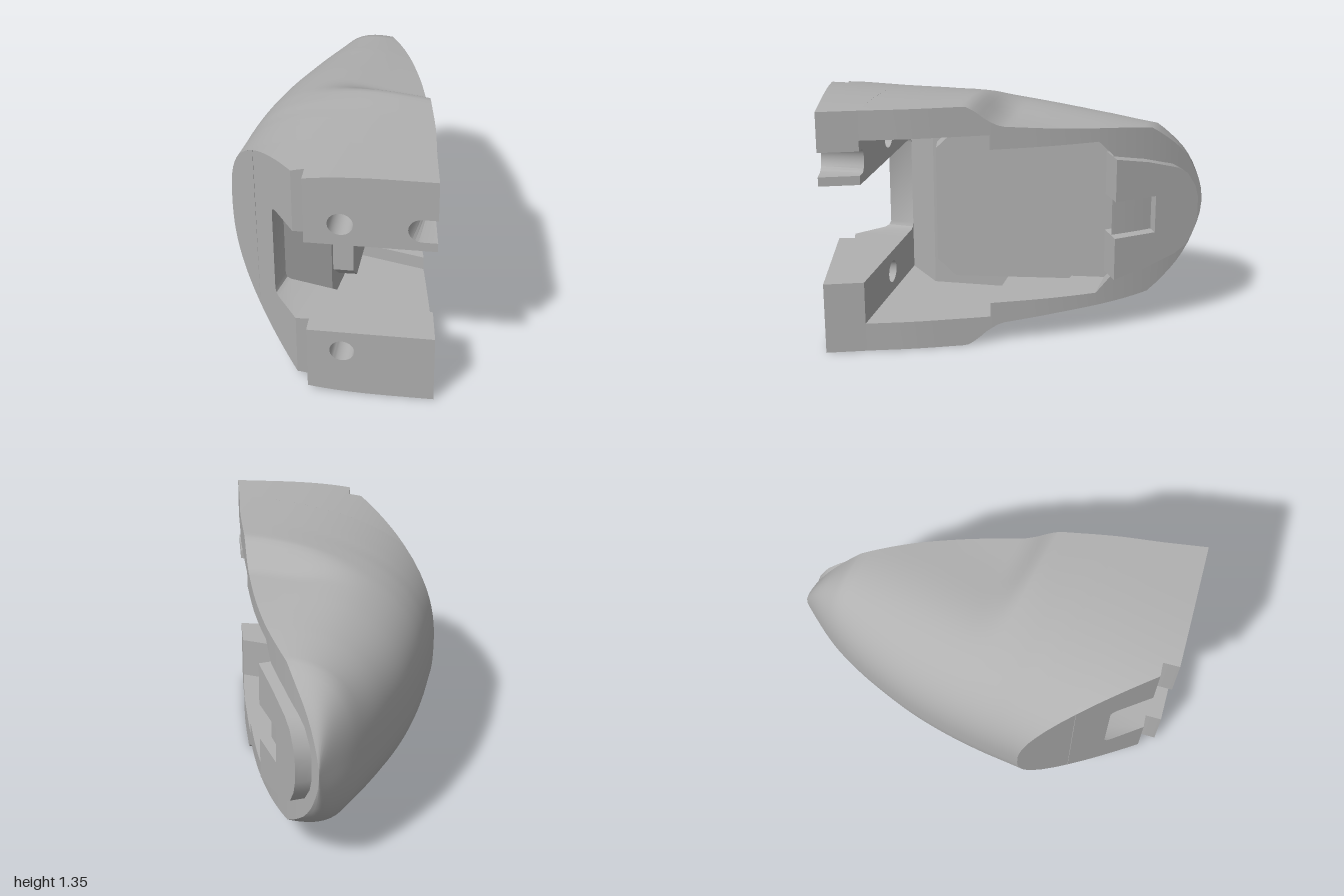
import * as THREE from 'three';
import { toCreasedNormals } from 'three/addons/utils/BufferGeometryUtils.js';

const MID = 0.675; // height of the mirror plane
const FRONT = 0.64; // depth where the clamp arms begin

// Piecewise curves through [position, value] points
const curve = (pts, Kind) => {
  const c = new Kind(pts.map(p => p[0]), pts.map(p => p[1]), 1);
  return v => c.evaluate(v)[0];
};
const linear = pts => curve(pts, THREE.LinearInterpolant);
const smooth = pts => curve(pts, THREE.CubicInterpolant);

// Plan curves: rounded back, open rim, front edge
const backX = smooth([[-1, -0.4], [-0.8, -0.505], [-0.6, -0.575], [-0.4, -0.62], [-0.2, -0.65],
  [0, -0.66], [0.2, -0.655], [0.44, -0.635], [1, -0.6]]);
const rimX = smooth([[-1, -0.4], [-0.8, -0.2], [-0.55, 0], [-0.3, 0.155], [0, 0.305],
  [0.2, 0.397], [0.4, 0.485], [0.64, 0.575], [0.84, 0.655]]);
const frontZ = linear([[-0.635, 0.44], [-0.065, 0.93], [0, 0.91], [0.02, 0.995], [0.655, 0.84]]);
const startX = z => (z <= 0.44 ? backX(z) : -0.635 + (z - 0.44) / 0.86);

// Half heights: plain crown, and the stepped waist near the rim
const tail = [[-1, 0], [-0.995, 0.065], [-0.98, 0.13], [-0.955, 0.205], [-0.93, 0.265], [-0.89, 0.33],
  [-0.85, 0.38], [-0.8, 0.432], [-0.75, 0.475]];
const crown = linear([...tail, [-0.5, 0.535], [-0.2, 0.595], [0.1, 0.65], [0.25, 0.668], [0.4, 0.675]]);
const waist = linear([...tail, [-0.4, 0.517], [-0.05, 0.556], [-0.01, 0.568], [0.04, 0.602],
  [0.09, 0.648], [0.13, 0.672], [0.15, 0.675]]);
function halfHeight(x, z) {
  const H = THREE.MathUtils.lerp(crown(z), waist(z), THREE.MathUtils.smoothstep(x, -0.35, 0.15));
  const w = Math.max(1e-4, Math.min(1.1, rimX(z) - backX(z)));
  const u = THREE.MathUtils.clamp((x - backX(z)) / w, 0, 1);
  return H * Math.pow(1 - Math.pow(1 - u, 2.6), 1 / 2.6);
}

// Surface from rows of [x, y, z] points
function grid(rows, crease) {
  const n = rows[0].length, index = [];
  for (let i = 0; i < rows.length - 1; i++)
    for (let j = 0; j < n - 1; j++) {
      const a = i * n + j, b = a + n;
      index.push(a, b, a + 1, a + 1, b, b + 1);
    }
  const g = new THREE.BufferGeometry();
  g.setAttribute('position', new THREE.Float32BufferAttribute(rows.flat(2), 3));
  g.setIndex(index);
  return toCreasedNormals(g, crease);
}

// Extrusion by one unit whose vertices are then moved by a rule(x, y, t)
function bentExtrude(shape, rule) {
  const g = new THREE.ExtrudeGeometry(shape, { depth: 1, bevelEnabled: false, curveSegments: 20 });
  const p = g.attributes.position;
  for (let i = 0; i < p.count; i++) p.setXYZ(i, ...rule(p.getX(i), p.getY(i), p.getZ(i)));
  return toCreasedNormals(g, 0.5);
}

const polygon = pts => new THREE.Shape(pts.map(p => new THREE.Vector2(p[0], p[1])));

export function createModel() {
  const group = new THREE.Group();
  const body = new THREE.Group();
  body.position.y = MID;
  group.add(body);
  const grey = new THREE.MeshStandardMaterial({ color: 0xb0b0b0, side: THREE.DoubleSide });
  grey.name = 'plain grey';
  const add = (name, geometry) => {
    const m = new THREE.Mesh(geometry, grey);
    m.name = name;
    body.add(m);
  };

  // Outer shell, upper and lower halves in one sheet
  const zs = [];
  for (let i = 0; i <= 10; i++) zs.push(-1 + 0.25 * Math.pow(i / 10, 1.6));
  for (let z = -0.71; z < 0.43; z += 0.03) zs.push(z);
  const cutZs = [0.44, 0.441, 0.443, 0.447, 0.454, 0.465, 0.48, 0.5, 0.54, 0.59, FRONT];
  const skinRow = z => {
    const row = [], N = 28, a = startX(z), b = rimX(z);
    for (let j = -N; j <= N; j++) {
      const x = a + (b - a) * Math.pow(Math.abs(j / N), 3);
      row.push([x, Math.sign(j) * halfHeight(x, z), z]);
    }
    return row;
  };
  add('outerShell', grid([...zs, 0.44].map(skinRow), 0.7));
  for (const s of [-1, 1])
    add('shellCheek', grid(cutZs.map(z => skinRow(z).filter((_, j) => (s < 0 ? j < 28 : j > 28))), 0.7));

  // Slanted cut face at the back corner
  add('cutFace', grid(cutZs.map(z => {
    const x = startX(z), h = halfHeight(x, z);
    return [[x, -h, z], [x, h, z]];
  }), 0.4));

  // Rim, cavity walls and cavity floor
  const cavity = linear([[-0.57, 0.35], [-0.5, 0.435], [0.0199, 0.435], [0.0201, 0.515], [0.64, 0.515]]);
  const floorX = linear([[-0.57, -0.2], [0.02, -0.1], [0.45, -0.06], [0.64, -0.245]]);
  const innerRow = (z, open) => {
    const r = rimX(z), H = halfHeight(r, z);
    const c = open ? cavity(z) : 0, f = open ? floorX(z) : r;
    return [[r, H, z], [r, c, z], [f, c, z], [f, -c, z], [r, -c, z], [r, -H, z]];
  };
  const openZs = [...zs.filter(z => z > -0.57), 0.0198, 0.0202, -0.5, 0.45, 0.5, 0.57, FRONT].sort((a, b) => a - b);
  add('rimAndCavity', grid([
    ...zs.filter(z => z < -0.57).map(z => innerRow(z, false)),
    innerRow(-0.57, false), innerRow(-0.57, true),
    ...openZs.map(z => innerRow(z, true)),
  ], 0.35));

  // Raised eight-sided plate in the cavity
  const q = 0.425, k = 0.1;
  const plate = polygon([[0.4 - k, q], [0.4, q - k], [0.4, k - q], [0.4 - k, -q],
    [k - 0.42, -q], [-0.42, k - q], [-0.42, q - k], [k - 0.42, q]]);
  add('innerPlate', bentExtrude(plate, (z, y, t) =>
    [t ? 0.045 + (z - 0.4) * 0.2 : -0.16, y, z + (t ? 0 : 0.05)]));

  // Rear lip standing proud of the rim, with a slot
  const side = [[-0.6, 0.345], [-0.75, 0.305], [-0.89, 0.25], [-0.94, 0.21], [-0.98, 0.13], [-0.995, 0.06]];
  const flip = pts => pts.map(([z, y]) => [z, -y]).reverse();
  const lip = polygon([[-0.6, 0.105], ...side, ...flip(side), [-0.6, -0.105], [-0.79, -0.105], [-0.79, 0.105]]);
  add('rearLip', bentExtrude(lip, (z, y, t) => {
    const x = 0.04 + 0.8 * (z + 0.6);
    return t ? [x, y, z] : [x - 0.12, y, z + 0.08];
  }));

  // Clamp end: slotted back web and two arms following the front edge
  const holeX = 0.195, holeY = 0.397, slot = 0.275;
  const rule = (x, y, t) => {
    if (t > 0.5) return [x, y, frontZ(x)];
    const inHole = Math.hypot(x - holeX, Math.abs(y) - holeY) < 0.07;
    return [x - (inHole ? 0.07 : Math.max(0, x - 0.5) * 0.516), y, FRONT];
  };
  const arc = (x0, x1, n) => Array.from({ length: n + 1 }, (_, i) => {
    const x = x0 + (x1 - x0) * i / n;
    return [x, halfHeight(x, FRONT)];
  });
  const top = arc(-0.4, -0.065, 14);
  const corner = [[-0.065, slot], [-0.215, slot], [-0.236, slot - 0.009], [-0.245, slot - 0.03]];
  add('slottedWeb', bentExtrude(polygon([...top, ...corner, ...flip(corner), ...flip(top)]), rule));

  for (const s of [1, -1]) {
    for (const [x0, x1, n] of [[-0.065, 0, 2], [0, 0.02, 1], [0.02, 0.655, 16]]) {
      const pts = [[x0, slot], ...arc(x0, x1, n)];
      const isArm = x1 > 0.5;
      // Round-ended notch in the upper arm
      if (isArm && s > 0) {
        pts.push([0.655, 0.457]);
        for (let i = 0; i <= 12; i++) {
          const a = Math.PI * (0.5 + i / 12);
          pts.push([0.58 + 0.066 * Math.cos(a), 0.391 + 0.066 * Math.sin(a)]);
        }
        pts.push([0.655, 0.325]);
      }
      pts.push([x1, slot]);
      const shape = polygon(pts.map(([x, y]) => [x, s * y]));
      if (isArm) shape.holes.push(new THREE.Path().absarc(holeX, s * holeY, 0.062, 0, Math.PI * 2));
      add(isArm ? (s > 0 ? 'upperArm' : 'lowerArm') : 'armGroove', bentExtrude(shape, rule));
    }
  }
  return group;
}
